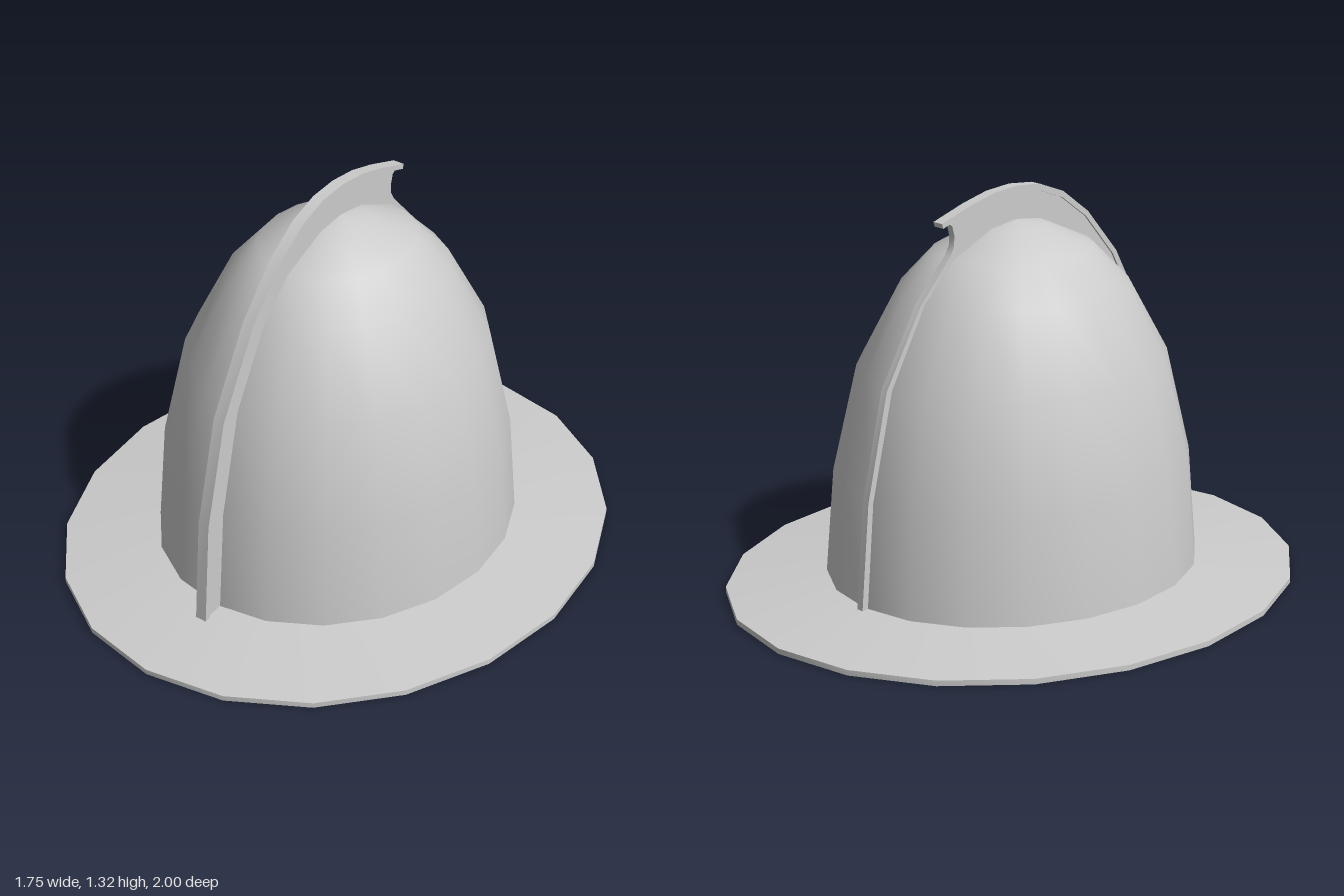
import * as THREE from 'three';
import { toCreasedNormals } from 'three/addons/utils/BufferGeometryUtils.js';

const SIDES = 20;
const vec = ([x, y]) => new THREE.Vector2(x, y);

// Side profile of the dome: [z radius, height]
const dome = [[0.65, 0.05], [0.62, 0.4], [0.535, 0.75], [0.395, 1.0], [0.275, 1.12], [0.11, 1.195], [0, 1.21]];
// Underside of the comb's cap, from front foot to rear tip: [z, y]
const comb = [[0.71, 0.04], [0.68, 0.4], [0.59, 0.745], [0.44, 1.02], [0.31, 1.17], [0.2, 1.25], [0.1, 1.288],
  [0, 1.3], [-0.1, 1.292], [-0.2, 1.268], [-0.32, 1.232]];
const cap = [[0.73, 0.04], [0.7, 0.4], [0.61, 0.75], [0.455, 1.03], [0.32, 1.185], [0.205, 1.27], [0.1, 1.31],
  [0, 1.32], [-0.1, 1.312], [-0.2, 1.288], [-0.325, 1.248]];

// Oval ring or shell: a lathe squeezed in x
function oval(points, squeeze) {
  const geometry = new THREE.LatheGeometry(points.map(vec), SIDES);
  geometry.scale(squeeze, 1, 1);
  return geometry;
}

// Flat plate in the z-y plane, centred on x = 0
function plate(points, width) {
  const geometry = new THREE.ExtrudeGeometry(new THREE.Shape(points.map(vec)), { depth: width, bevelEnabled: false });
  geometry.translate(0, 0, -width / 2);
  geometry.rotateY(-Math.PI / 2);
  return toCreasedNormals(geometry, 0.6);
}

export function createModel() {
  const group = new THREE.Group();
  const material = new THREE.MeshStandardMaterial({ color: 0xcccccc, side: THREE.DoubleSide });
  const add = (name, geometry) => {
    const mesh = new THREE.Mesh(geometry, material);
    mesh.name = name;
    group.add(mesh);
  };

  // Open oval shell
  add('dome', oval(dome, 0.885));

  // Gently sloping brim with a thin outer edge
  const brim = oval([[0.65, 0.035], [1, 0], [1, 0.018], [0.65, 0.052]], 0.875);
  add('brim', toCreasedNormals(brim, 0.5));

  // Thin web of the comb, rising over the crown and ending in a curved rear notch
  const inner = dome.map(([z, y]) => [z - 0.012, y - 0.008]);
  inner[inner.length - 1][0] = 0;
  const rearInner = inner.slice(0, -1).map(([z, y]) => [-z, y]).reverse();
  const rearOuter = [[-0.67, 0.05], [-0.638, 0.4], [-0.555, 0.75], [-0.41, 1.0], [-0.285, 1.135]];
  const notch = [[-0.268, 1.165], [-0.267, 1.2], [-0.275, 1.23], [-0.29, 1.242]];
  const web = [...inner, ...rearInner, ...rearOuter, ...notch, ...comb.slice(0, -1).reverse()];
  add('combWeb', plate(web, 0.025));

  // Wider cap strip along the comb's outer edge
  add('combCap', plate([...cap, ...comb.slice().reverse()], 0.04));

  return group;
}
